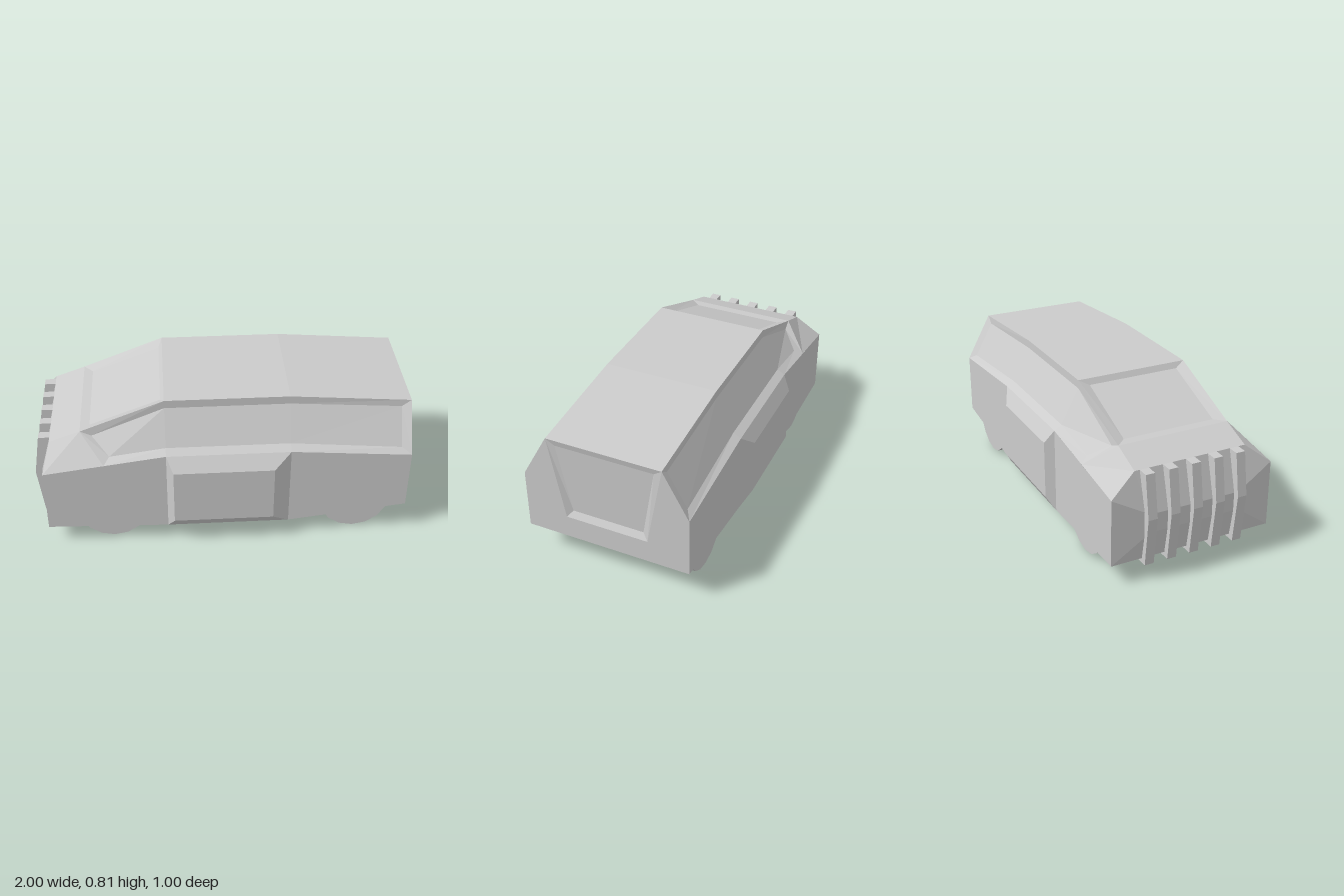
import * as THREE from 'three';

const mat = new THREE.MeshStandardMaterial({ color: 0xcccccc, flatShading: true });

// The shell sits slightly off the centre line; the door bulges do not
const place = ([x, y, z]) => [x, y, Math.abs(z) > 0.49 ? z : z - 0.005];
const flip = ([x, y, z]) => [x, y, -z];

// Collects polygons (counter-clockwise from outside) into one flat-shaded mesh
class Panels {
  constructor() { this.pos = []; }
  face(...p) {
    for (let i = 1; i < p.length - 1; i++)
      for (const v of [p[0], p[i], p[i + 1]]) this.pos.push(...place(v));
  }
  // A face and its mirror image on the other side
  both(...p) {
    this.face(...p);
    this.face(...p.map(flip).reverse());
  }
  // Bevel between an outer and an inner loop
  ring(outer, inner, add) {
    outer.forEach((o, i) => {
      const j = (i + 1) % outer.length;
      add.call(this, o, outer[j], inner[j], inner[i]);
    });
  }
  // Strip across the car joining a left-hand polyline to its mirror
  across(line) {
    for (let i = 0; i < line.length - 1; i++)
      this.face(line[i], line[i + 1], flip(line[i + 1]), flip(line[i]));
  }
  mesh(name) {
    const g = new THREE.BufferGeometry();
    g.setAttribute('position', new THREE.Float32BufferAttribute(this.pos, 3));
    g.computeVertexNormals();
    const m = new THREE.Mesh(g, mat);
    m.name = name;
    return m;
  }
}

export function createModel() {
  const car = new THREE.Group();
  car.name = 'van';
  const W = 0.45, T = 0.31;

  // Sill, shoulder and roof lines, front (-x) to rear (+x)
  const sill = [[-0.94, 0.11, W], [-0.295, 0.09, W], [0.36, 0.09, W], [1, 0.172, W]];
  const shoulder = [[-0.94, 0.47, W], [-0.295, 0.56, W], [0.36, 0.56, W], [1, 0.51, W]];
  const roof = [[-0.295, 0.815, T], [0.36, 0.815, T], [1, 0.765, T]];
  const hood = [-0.905, 0.58, T], cowl = [-0.74, 0.64, T], pillar = [-0.62, 0.515, W];

  const shell = new Panels();

  // Lower sides
  for (const i of [0, 2]) shell.both(sill[i], sill[i + 1], shoulder[i + 1], shoulder[i]);

  // Door bulges
  const door = [[-0.26, 0.165, 0.5], [0.27, 0.165, 0.5], [0.27, 0.485, 0.5], [-0.26, 0.485, 0.5]];
  shell.ring([sill[1], sill[2], shoulder[2], shoulder[1]], door, shell.both);
  shell.both(...door);

  // Fenders, hood and roof
  shell.both(shoulder[0], pillar, cowl, hood);
  shell.across([hood, cowl]);
  shell.across(roof);

  // Underside: floor raised inside sloping sills
  const floor = [-0.7, -0.295, 0.36, 0.78].map((x) => [x, 0.185, 0.21]);
  for (let i = 0; i < 3; i++) shell.both(floor[i], floor[i + 1], sill[i + 1], sill[i]);
  shell.across([sill[3], ...[...floor].reverse(), sill[0]]);

  // Bulged nose
  const noseHigh = [-0.965, 0.36, 0.25], noseLow = [-0.965, 0.26, 0.25], chin = [-0.94, 0.11, T];
  shell.both(shoulder[0], hood, noseHigh);
  shell.both(shoulder[0], noseHigh, noseLow, sill[0]);
  shell.both(sill[0], noseLow, chin);
  shell.across([chin, noseLow, noseHigh, hood]);

  // Recessed side windows
  const low = [[-0.59, 0.54, 0.405], [-0.295, 0.585, 0.408], [0.36, 0.585, 0.408], [0.95, 0.54, 0.418]];
  const high = [[-0.68, 0.615, 0.315], [-0.295, 0.77, 0.31], [0.36, 0.77, 0.31], [0.95, 0.73, 0.313]];
  shell.ring(
    [pillar, ...shoulder.slice(1), ...[...roof].reverse(), cowl],
    [...low, ...[...high].reverse()], shell.both);
  const sideGlass = new Panels();
  for (let i = 0; i < 3; i++) sideGlass.both(low[i], low[i + 1], high[i + 1], high[i]);

  // Recessed windshield
  const pane = [[-0.69, 0.642, 0.255], [-0.315, 0.786, 0.255]];
  const loop = (a, b) => [a, b, flip(b), flip(a)];
  shell.ring(loop(cowl, roof[0]), loop(...pane), shell.face);
  const windshield = new Panels();
  windshield.across(pane);

  // Tail with recessed rear window
  const tailLow = [1, 0.3, 0.225], glassLow = [0.98, 0.335, 0.195], glassHigh = [0.992, 0.73, 0.265];
  shell.both(sill[3], tailLow, roof[2], shoulder[3]);
  shell.face(sill[3], flip(sill[3]), flip(tailLow), tailLow);
  const tailLoop = (a, b) => [a, flip(a), flip(b), b];
  shell.ring(tailLoop(tailLow, roof[2]), tailLoop(glassLow, glassHigh), shell.face);
  const rearWindow = new Panels();
  rearWindow.face(...tailLoop(glassLow, glassHigh));

  car.add(shell.mesh('bodyShell'), sideGlass.mesh('sideWindows'),
    windshield.mesh('windshield'), rearWindow.mesh('rearWindow'));

  // Grille bars
  const profile = new THREE.Shape([
    [-0.965, 0.58], [-1, 0.35], [-0.97, 0.085], [-0.88, 0.085], [-0.88, 0.35], [-0.905, 0.58],
  ].map(([x, y]) => new THREE.Vector2(x, y)));
  const barGeo = new THREE.ExtrudeGeometry(profile, { depth: 0.05, bevelEnabled: false });
  const grille = new THREE.Group();
  grille.name = 'grille';
  for (let i = 0; i < 5; i++) {
    const bar = new THREE.Mesh(barGeo, mat);
    bar.name = 'grilleBar';
    bar.position.z = -0.287 + i * 0.126;
    grille.add(bar);
  }
  car.add(grille);

  // Wheels and thick axles on the same centre
  const wheelGeo = new THREE.CylinderGeometry(0.19, 0.19, 0.167, 16).rotateX(Math.PI / 2);
  const axleGeo = new THREE.CylinderGeometry(0.128, 0.128, 0.52, 10).rotateX(Math.PI / 2);
  for (const [x, end] of [[-0.59, 'front'], [0.725, 'rear']]) {
    for (const z of [0.3215, -0.3415]) {
      const wheel = new THREE.Mesh(wheelGeo, mat);
      wheel.name = end + 'Wheel';
      wheel.position.set(x, 0.19, z);
      car.add(wheel);
    }
    const axle = new THREE.Mesh(axleGeo, mat);
    axle.name = end + 'Axle';
    axle.position.set(x, 0.19, -0.01);
    car.add(axle);
  }
  return car;
}
